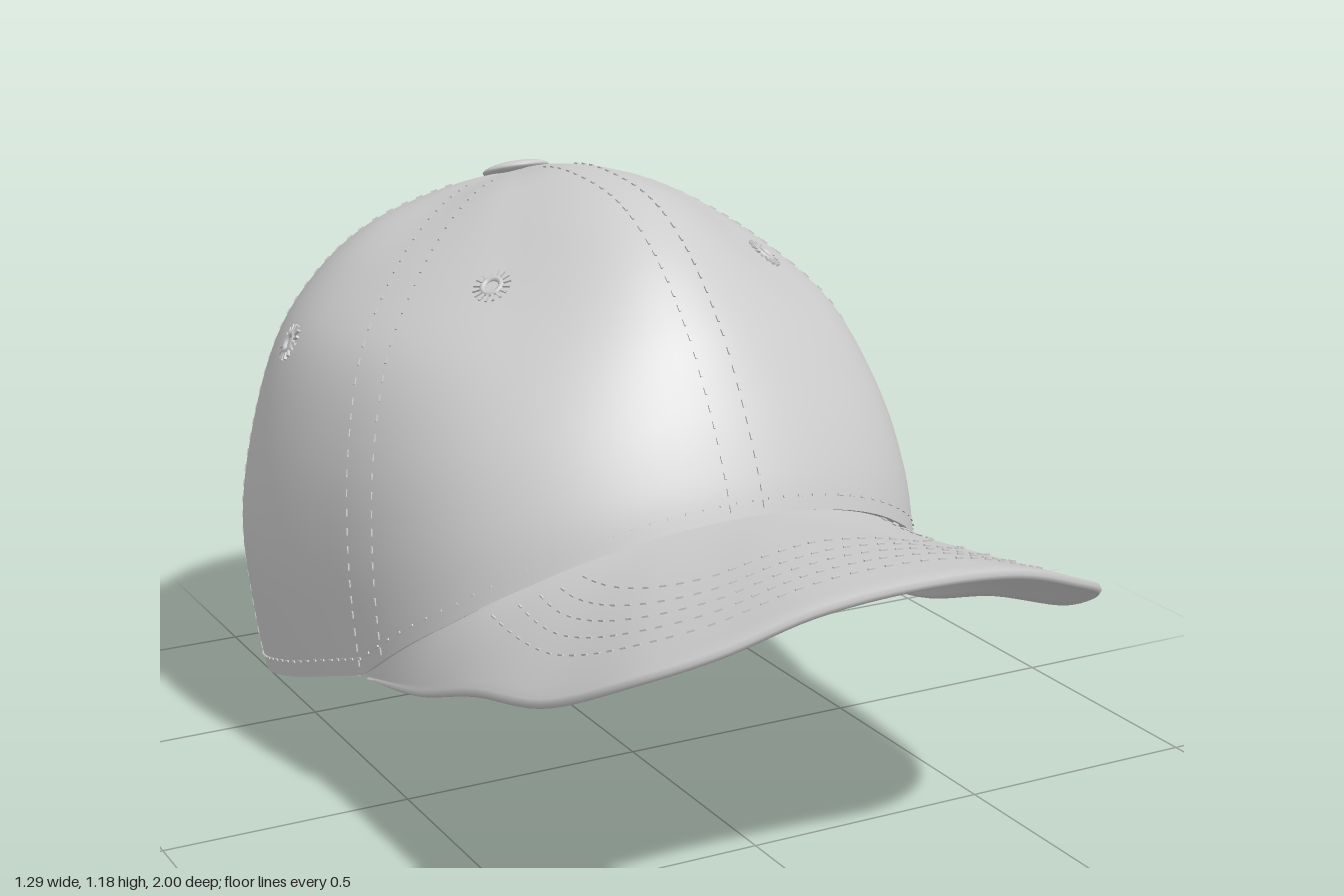
import * as THREE from 'three';
import { mergeGeometries, mergeVertices } from 'three/addons/utils/BufferGeometryUtils.js';

const V = (x, y, z) => new THREE.Vector3(x, y, z);
const RAD = Math.PI / 180;
const CZ = -0.5; // z of the crown's apex axis

// Crown meridians every 30 degrees from front to back: radius, height
const MERIDIANS = [
  [.15, 1.16, .3, 1.175, .5, 1.155, .65, 1.085, .78, .965, .87, .835, .93, .72, .96, .64, .975, .58],
  [.14, 1.142, .28, 1.142, .43, 1.1, .58, 1.013, .725, .9, .83, .765, .893, .63, .922, .5, .93, .4],
  [.12, 1.122, .23, 1.105, .355, 1.06, .485, .985, .62, .86, .69, .67, .71, .47, .7, .3, .685, .18],
  [.12, 1.11, .23, 1.08, .34, 1.035, .445, .955, .54, .832, .6, .66, .635, .44, .618, .24, .588, .06],
  [.1, 1.1, .2, 1.065, .3, 1.01, .39, .93, .47, .815, .53, .65, .57, .44, .56, .2, .53, -.02],
  [.09, 1.095, .17, 1.055, .25, .99, .33, .905, .4, .8, .46, .665, .51, .45, .51, .2, .49, -.04],
  [.085, 1.09, .165, 1.04, .24, .97, .31, .877, .38, .757, .44, .617, .485, .445, .5, .3, .48, 0],
].map(m => [0, 1.125, ...m]);

// Catmull-Rom blend of values fetched by integer index
function spline(get, x) {
  const i = Math.floor(x), f = x - i;
  const a = get(i - 1), b = get(i), c = get(i + 1), d = get(i + 2);
  return b + 0.5 * f * (c - a + f * (2 * a - 5 * b + 4 * c - d + f * (3 * (b - c) + d - a)));
}

// Point on the crown: angle in degrees from the front, t from apex 0 to bottom 1
function crownPoint(phi, t) {
  const value = k => spline(i => {
    const n = THREE.MathUtils.clamp(i, 0, 9) * 2 + k;
    return spline(j => {
      j = ((j % 12) + 12) % 12;
      return MERIDIANS[j > 6 ? 12 - j : j][n];
    }, phi / 30);
  }, t * 9);
  const r = value(0);
  return V(r * Math.sin(phi * RAD), value(1), CZ + r * Math.cos(phi * RAD));
}

function crownNormal(phi, t) {
  t = Math.max(t, 0.02);
  const dt = crownPoint(phi, t + 0.005).sub(crownPoint(phi, t - 0.005));
  const dp = crownPoint(phi + 0.5, t).sub(crownPoint(phi - 0.5, t));
  return dt.cross(dp).normalize();
}

const crownOffset = (phi, t, d) => crownPoint(phi, t).addScaledVector(crownNormal(phi, t), d);

// Lower edge of the crown by z, with the arched opening at the back
const RIM = [[-1, -.03], [-.85, .01], [-.3, .172], [0, .278], [.15, .385], [.25, .455], [.35, .54], [.46, .645], [.6, .75]];
function rimHeight(p, arch = true) {
  const u = Math.abs(p.x + 0.018) / 0.36;
  if (arch && p.z < -0.7 && u < 1) return 0.01 + 0.32 * Math.cbrt(1 - u ** 3);
  let i = 0;
  while (i < RIM.length - 2 && p.z > RIM[i + 1][0]) i++;
  const [z0, y0] = RIM[i], [z1, y1] = RIM[i + 1];
  return y0 + (y1 - y0) * (p.z - z0) / (z1 - z0);
}

// t at which a meridian reaches the edge, raised by lift
function rimT(phi, lift = 0, arch = true) {
  let lo = 0.4, hi = 1;
  for (let i = 0; i < 26; i++) {
    const mid = (lo + hi) / 2, p = crownPoint(phi, mid);
    if (p.y > rimHeight(p, arch) + lift) lo = mid; else hi = mid;
  }
  return lo;
}

// Smooth grid surface from a list of point columns
function gridSurface(columns) {
  const n = columns[0].length, index = [];
  for (let j = 0; j < columns.length - 1; j++)
    for (let i = 0; i < n - 1; i++) {
      const a = j * n + i, b = a + n;
      index.push(a, a + 1, b, b, a + 1, b + 1);
    }
  let g = new THREE.BufferGeometry().setFromPoints(columns.flat());
  g.setIndex(index);
  g = mergeVertices(g, 1e-5);
  g.computeVertexNormals();
  return g;
}

const range = (a, b, n) => Array.from({ length: n + 1 }, (_, i) => a + (b - a) * i / n);

// Brim outer edge, mirrored, with its front set slightly to the left
const half = [[0, .69, 1], [.2, .675, .995], [.36, .62, .96], [.47, .56, .87], [.54, .465, .68],
  [.56, .395, .42], [.567, .316, .2], [.575, .272, 0]].map(p => V(...p));
const brimEdge = new THREE.CatmullRomCurve3(
  [...half.slice(1).reverse().map(p => V(-p.x, p.y, p.z)), ...half]
    .map(p => p.add(V(0.018 * Math.min(1, p.z / 0.4), 0, 0))));
const brimOuter = v => brimEdge.getPoint((v + 1) / 2);
function brimInner(v) {
  const phi = Math.sign(v) * 50 * Math.abs(v) ** 1.8;
  return crownOffset(phi, rimT(phi), -0.012);
}

// Row of thread dashes along a path of { p, n } samples
function dashes(path, out) {
  let travelled = 0;
  for (let i = 1; i < path.length; i++) {
    const a = path[i - 1], b = path[i];
    travelled += a.p.distanceTo(b.p);
    if (travelled < 0.03) continue;
    travelled = 0;
    const dir = b.p.clone().sub(a.p).normalize();
    const side = b.n.clone().cross(dir).normalize();
    const box = new THREE.BoxGeometry(0.004, 0.003, 0.014);
    box.applyMatrix4(new THREE.Matrix4().makeBasis(side, dir.clone().cross(side), dir).setPosition(b.p));
    out.push(box);
  }
}

export function createModel() {
  const group = new THREE.Group();
  const fabric = new THREE.MeshStandardMaterial({ color: 0xcccccc, side: THREE.DoubleSide });
  fabric.name = 'light grey fabric';
  const add = (name, geometry) => {
    const mesh = new THREE.Mesh(geometry, fabric);
    mesh.name = name;
    group.add(mesh);
    return mesh;
  };

  // Crown, with finer columns around the opening's corners
  const right = [...range(130, 146, 32), ...range(147, 180, 24)];
  const angles = [...right.map(a => -a).reverse(), ...range(-128, 128, 104), ...right];
  add('crown', gridSurface(angles.map(phi =>
    range(0, rimT(phi), 44).map(t => crownPoint(phi, t)))));

  // Sweatband inside the lower edge
  add('sweatband', gridSurface(range(-135, 140, 110).map(phi => {
    const t0 = rimT(phi, 0, false), t1 = rimT(phi, 0.14, false);
    return [crownPoint(phi, t0), ...range(t0, t1, 8).map(t => crownOffset(phi, t, -0.012)),
      crownOffset(phi, t1, -0.002)];
  })));

  // Brim: top, rounded edge and underside in one loop, thinning at both ends
  add('brim', gridSurface(range(-1, 1, 96).map(v => {
    const a = brimInner(v), b = brimOuter(v), thick = 0.018 * (1 - 0.8 * v ** 8);
    const top = range(0, 1, 12).map(w => a.clone().lerp(b, w));
    const lip = b.clone().add(V(b.x * 0.008, -thick / 2, 0.003));
    return [...top, lip, ...top.map(p => p.clone().add(V(0, -thick, 0))).reverse()];
  })));

  // Button on top
  const button = add('button', new THREE.SphereGeometry(0.07, 32, 16));
  button.scale.y = 0.22;
  button.rotation.x = -0.35;
  button.position.set(-0.005, 1.121, -0.515);

  // Twin stitch rows along the six panel seams
  const seams = [];
  const seamAngles = [() => 0, () => 180];
  for (const s of [-1, 1]) seamAngles.push(t => s * (57 - 10 * t), t => s * (118 - 16 * t));
  for (const angle of seamAngles)
    for (const shift of [-0.035, 0.035]) {
      const end = rimT(angle(0.9)) - 0.015;
      dashes(range(0.12, end, 150).map(t => {
        const p = crownPoint(angle(t), t);
        const phi = angle(t) + shift / Math.hypot(p.x, p.z - CZ) / RAD;
        return { p: crownOffset(phi, t, 0.0015), n: crownNormal(phi, t) };
      }), seams);
    }
  // Hem stitches above the lower edge
  dashes(range(-134, 139, 400).map(phi => {
    const t = rimT(phi, 0.035, false);
    return { p: crownOffset(phi, t, 0.0015), n: crownNormal(phi, t) };
  }), seams);
  add('seamStitches', mergeGeometries(seams));

  // Rows of stitches following the brim's outer edge
  const rows = [];
  for (const inset of [0.11, 0.16, 0.21, 0.26, 0.32]) {
    const path = [];
    for (const v of range(-0.95, 0.95, 250)) {
      const a = brimInner(v), b = brimOuter(v);
      const w = 1 - inset / Math.hypot(b.x - a.x, b.z - a.z);
      if (w > 0.04) path.push({ p: a.lerp(b, w).add(V(0, 0.0015, 0)), n: V(0, 1, 0) });
    }
    dashes(path, rows);
  }
  add('brimStitches', mergeGeometries(rows));

  // Embroidered eyelets, one for each panel
  const parts = [new THREE.TorusGeometry(0.019, 0.006, 8, 24)];
  for (let i = 0; i < 16; i++)
    parts.push(new THREE.BoxGeometry(0.022, 0.005, 0.008).translate(0.028, 0, 0).rotateZ(i * Math.PI / 8));
  const eyelet = mergeGeometries(parts);
  for (const [phi, t] of [[31, 4 / 9], [81, 5 / 9], [143, 6 / 9]])
    for (const s of [-1, 1]) {
      const mesh = add('eyelet', eyelet);
      mesh.position.copy(crownPoint(s * phi, t));
      mesh.quaternion.setFromUnitVectors(V(0, 0, 1), crownNormal(s * phi, t));
    }

  return group;
}
